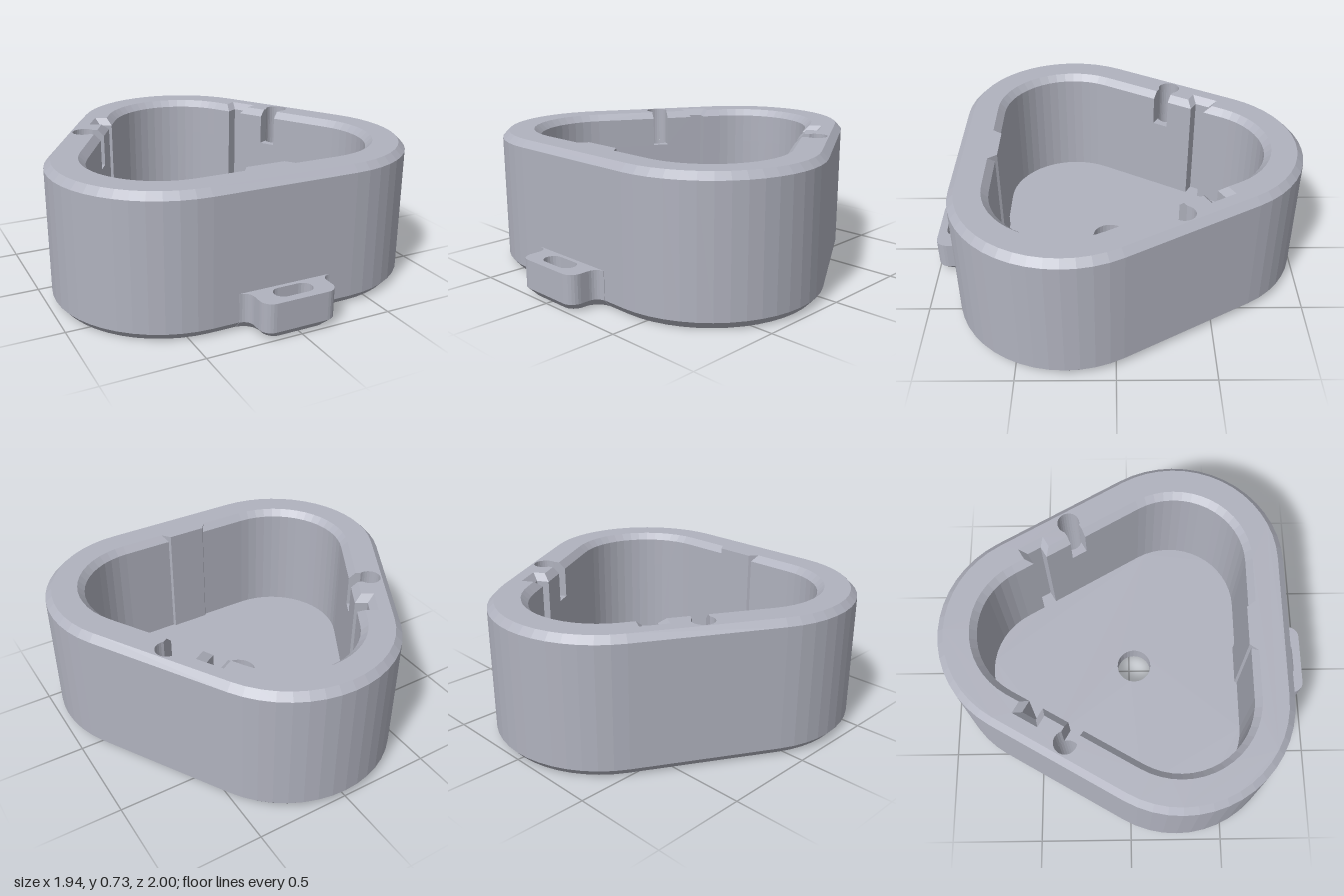
import * as THREE from 'three';

const Z0 = 0.03;          // centre of the rounded triangle
const CORNER = 0.445;     // centre to corner-arc centres
const EDGE = CORNER / 2;  // centre to straight edges, before the corner radius
const H = 0.73, FLOOR = 0.1, LEDGE = 0.53, CH = 0.035;
const R_OUT = 0.585, R_IN = 0.38;
const HOLE_N = 0.705, HOLE_R = 0.06, NECK = 0.045;

const shellMat = new THREE.MeshStandardMaterial({ color: 0xb0b2be, flatShading: true });
shellMat.name = 'satin grey';

// point on an edge: u along it, n outwards from the centre
function edgePoint(phi, u, n) {
  const c = Math.cos(phi), s = Math.sin(phi);
  return [n * c - u * s, Z0 + n * s + u * c];
}

function circle(x, z, r, count = 28) {
  return Array.from({ length: count }, (_, i) => {
    const a = (i / count) * Math.PI * 2;
    return [x + r * Math.cos(a), z + r * Math.sin(a)];
  });
}

// rounded triangle; detail(n) lists [u, n] points cut into the two rear edges
function contour(radius, detail) {
  const pts = [];
  [30, 150, 270].forEach((deg, k) => {
    const a = THREE.MathUtils.degToRad(deg);
    const cx = CORNER * Math.cos(a), cz = Z0 + CORNER * Math.sin(a);
    const steps = 16;
    for (let i = 0; i <= steps; i++) {
      const t = a + (i / steps - 0.5) * Math.PI * 2 / 3;
      pts.push([cx + radius * Math.cos(t), cz + radius * Math.sin(t)]);
    }
    if (detail && k > 0) {
      let list = detail(EDGE + radius);
      if (k === 2) list = list.map(([u, n]) => [-u, n]).reverse();
      list.forEach(([u, n]) => pts.push(edgePoint(a + Math.PI / 3, u, n)));
    }
  });
  return pts;
}

// vertical groove, widened by g where its mouth is chamfered
const groove = (n, g) => [
  [0.195 - g, n], [0.195 - g, 0.67 + g], [0.275 + g, 0.67 + g], [0.275 + g, n],
];

// arc of the screw hole: the rear part (open notch) or the short front part
const neckAngle = Math.asin(NECK / HOLE_R);
function holeArc(from, to, count) {
  return Array.from({ length: count + 1 }, (_, i) => {
    const a = from + (to - from) * i / count;
    return [HOLE_R * Math.sin(a), HOLE_N - HOLE_R * Math.cos(a)];
  });
}
const notch = (n) => [
  [-NECK, n], ...holeArc(-neckAngle, neckAngle - 2 * Math.PI, 20), [NECK, n],
];

// wall through matching closed contours; levels are [points, y]
function loft(levels, outward) {
  const pos = [];
  for (let l = 0; l + 1 < levels.length; l++) {
    const [A, ya] = levels[l], [B, yb] = levels[l + 1];
    A.forEach((_, i) => {
      const j = (i + 1) % A.length;
      const a0 = [A[i][0], ya, A[i][1]], a1 = [A[j][0], ya, A[j][1]];
      const b0 = [B[i][0], yb, B[i][1]], b1 = [B[j][0], yb, B[j][1]];
      const tris = outward ? [a0, b1, a1, a0, b0, b1] : [a0, a1, b1, a0, b1, b0];
      tris.forEach((p) => pos.push(...p));
    });
  }
  const geo = new THREE.BufferGeometry();
  geo.setAttribute('position', new THREE.Float32BufferAttribute(pos, 3));
  geo.computeVertexNormals();
  return geo;
}

// flat face at height y with holes, facing up or down
function cap(points, holes, y, up) {
  const v = (p) => new THREE.Vector2(p[0], up ? -p[1] : p[1]);
  const shape = new THREE.Shape(points.map(v));
  holes.forEach((h) => shape.holes.push(new THREE.Path(h.map(v))));
  return new THREE.ShapeGeometry(shape).rotateX(up ? -Math.PI / 2 : Math.PI / 2).translate(0, y, 0);
}

// plan of the strap lug, inset by d, with filleted roots and rounded tips
function lugPlan(d) {
  const w = 0.2 - d, end = 1 - d, r = 0.06, f = 0.05 + d, root = 0.84 - d;
  const half = [[w + f, 0.8]];
  for (let i = 0; i <= 6; i++) {
    const a = (i / 6) * Math.PI / 2;
    half.push([w + f - f * Math.sin(a), root + f - f * Math.cos(a)]);
  }
  for (let i = 0; i <= 6; i++) {
    const a = (i / 6) * Math.PI / 2;
    half.push([w - r + r * Math.cos(a), end - r + r * Math.sin(a)]);
  }
  return [...half, ...half.map(([x, z]) => [-x, z]).reverse()];
}

// rounded slot through the lug
function slotPlan() {
  const pts = [], r = 0.047;
  for (const side of [1, -1]) {
    for (let i = 0; i <= 10; i++) {
      const a = (i / 10 - 0.5) * Math.PI;
      pts.push([side * (0.058 + r * Math.cos(a)), 0.908 + side * r * Math.sin(a)]);
    }
  }
  return pts;
}

export function createModel() {
  const model = new THREE.Group();
  model.name = 'roundedTriangleHousing';
  const add = (name, geo) => {
    const mesh = new THREE.Mesh(geo, shellMat);
    mesh.name = name;
    model.add(mesh);
  };

  // outer shell with chamfered top and bottom edges
  const outer = contour(R_OUT), outerInset = contour(R_OUT - CH);
  add('outerWall', loft([[outerInset, 0], [outer, 0.04], [outer, H - CH], [outerInset, H]], true));

  // inner wall: plain with grooves below, notched and chamfered above
  const innerLow = contour(R_IN, (n) => groove(n, 0));
  const innerHigh = contour(R_IN, (n) => [...notch(n), ...groove(n, 0)]);
  const innerTop = contour(R_IN + CH, (n) => [...notch(n), ...groove(n, CH)]);
  add('innerWall', loft([[innerLow, FLOOR], [innerLow, LEDGE]], false));
  add('innerRim', loft([[innerHigh, LEDGE], [innerHigh, H - CH], [innerTop, H]], false));
  add('topRim', cap(outerInset, [innerTop], H, true));

  // floor, underside and the holes through them
  const centreHole = circle(0, Z0, 0.097);
  const screwHoles = [210, 330].map((deg) => {
    const phi = THREE.MathUtils.degToRad(deg);
    const plan = circle(...edgePoint(phi, 0, HOLE_N), HOLE_R);
    add('screwHole', loft([[plan, 0], [plan, LEDGE]], false));
    const ledge = [[-NECK, EDGE + R_IN], ...holeArc(-neckAngle, neckAngle, 8), [NECK, EDGE + R_IN]];
    add('notchLedge', cap(ledge.map(([u, n]) => edgePoint(phi, u, n)), [], LEDGE, true));
    return plan;
  });
  add('floor', cap(innerLow, [centreHole], FLOOR, true));
  add('centreHole', loft([[centreHole, 0], [centreHole, FLOOR]], false));
  add('underside', cap(outerInset, [centreHole, ...screwHoles], 0, false));

  // shallow upright rib inside the front wall
  const rib = [[0.14, 0.668], [0.105, 0.62], [-0.105, 0.62], [-0.14, 0.668]].reverse();
  add('frontRib', loft([[rib, FLOOR], [rib, H]], true));
  add('frontRibTop', cap(rib, [], H, true));

  // slotted strap lug at the front
  const lug = lugPlan(0), lugInset = lugPlan(CH), slot = slotPlan();
  add('lugWall', loft([[lugInset, 0], [lug, 0.04], [lug, 0.19]], true));
  add('lugTop', cap(lug, [slot], 0.19, true));
  add('lugUnderside', cap(lugInset, [slot], 0, false));
  add('lugSlot', loft([[slot, 0], [slot, 0.19]], false));

  return model;
}
